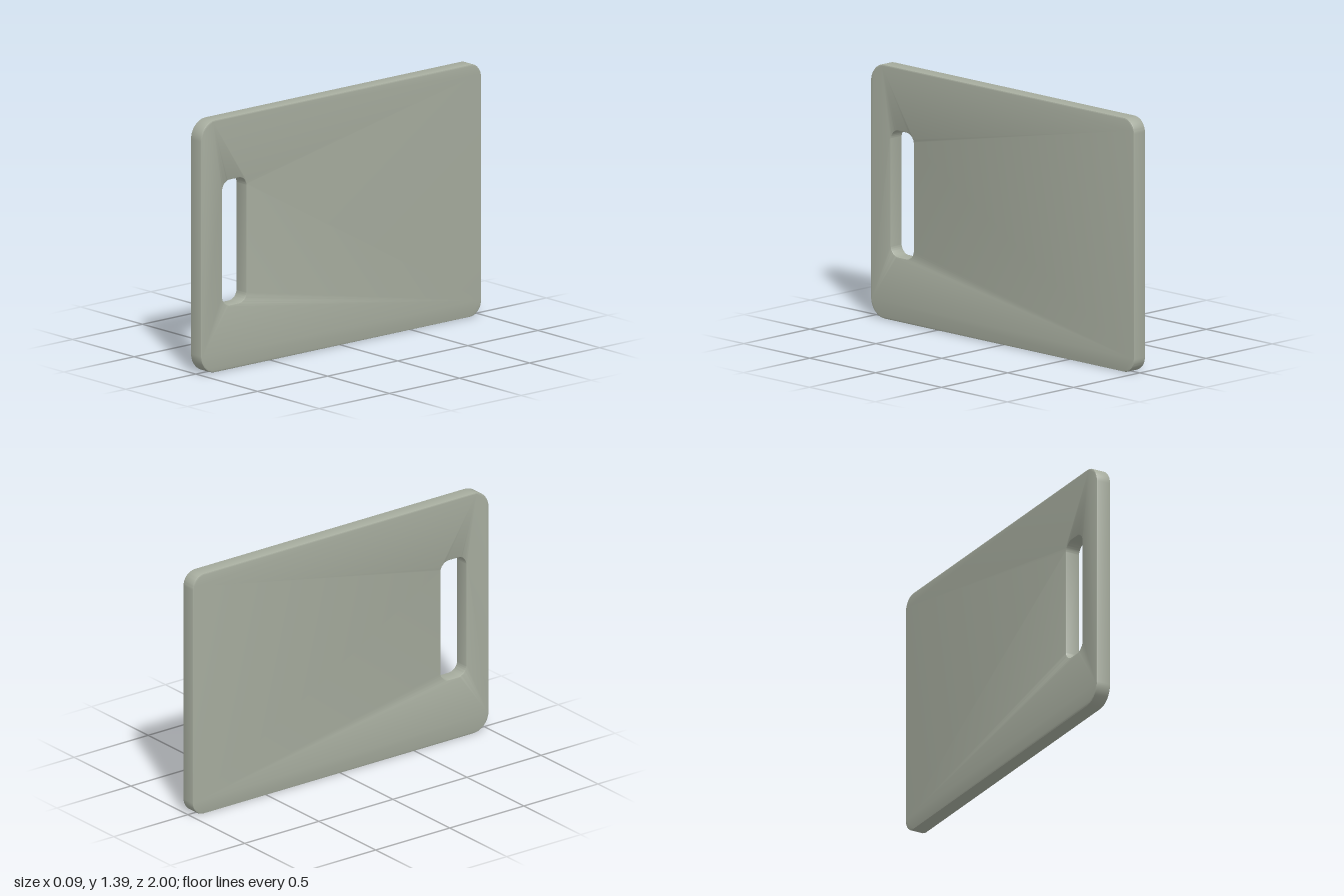
import * as THREE from 'three';
import { toCreasedNormals } from 'three/addons/utils/BufferGeometryUtils.js';

// Rounded rectangle outline; r0 rounds the low-u corners, r1 the high-u corners
function roundedRect(path, u0, v0, u1, v1, r0, r1) {
  const q = Math.PI / 2;
  path.moveTo(u0 + r0, v0);
  path.lineTo(u1 - r1, v0);
  path.absarc(u1 - r1, v0 + r1, r1, -q, 0, false);
  path.lineTo(u1, v1 - r1);
  path.absarc(u1 - r1, v1 - r1, r1, 0, q, false);
  path.lineTo(u0 + r0, v1);
  path.absarc(u0 + r0, v1 - r0, r0, q, 2 * q, false);
  path.lineTo(u0, v0 + r0);
  path.absarc(u0 + r0, v0 + r0, r0, 2 * q, 3 * q, false);
  return path;
}

export function createModel() {
  const group = new THREE.Group();
  group.name = 'cuttingBoard';

  const thickness = 0.086;
  const bevel = 0.007;

  // Board outline (u runs along z) with the handle slot cut near the front
  const outline = roundedRect(new THREE.Shape(), -1, 0, 1, 1.395, 0.08, 0.105);
  outline.holes.push(roundedRect(new THREE.Path(), 0.675, 0.355, 0.847, 1.047, 0.055, 0.055));

  // Slab with softened edges, turned so its thickness lies along x
  const slab = new THREE.ExtrudeGeometry(outline, {
    depth: thickness - 2 * bevel,
    bevelEnabled: true,
    bevelThickness: bevel,
    bevelSize: bevel,
    bevelOffset: -bevel,
    bevelSegments: 2,
    curveSegments: 8,
  });
  slab.translate(0, 0, bevel - thickness / 2);
  slab.rotateY(-Math.PI / 2);

  const board = new THREE.Mesh(
    toCreasedNormals(slab, 0.6),
    new THREE.MeshStandardMaterial({ color: 0xa6ac9e })
  );
  board.name = 'board';
  group.add(board);

  return group;
}
